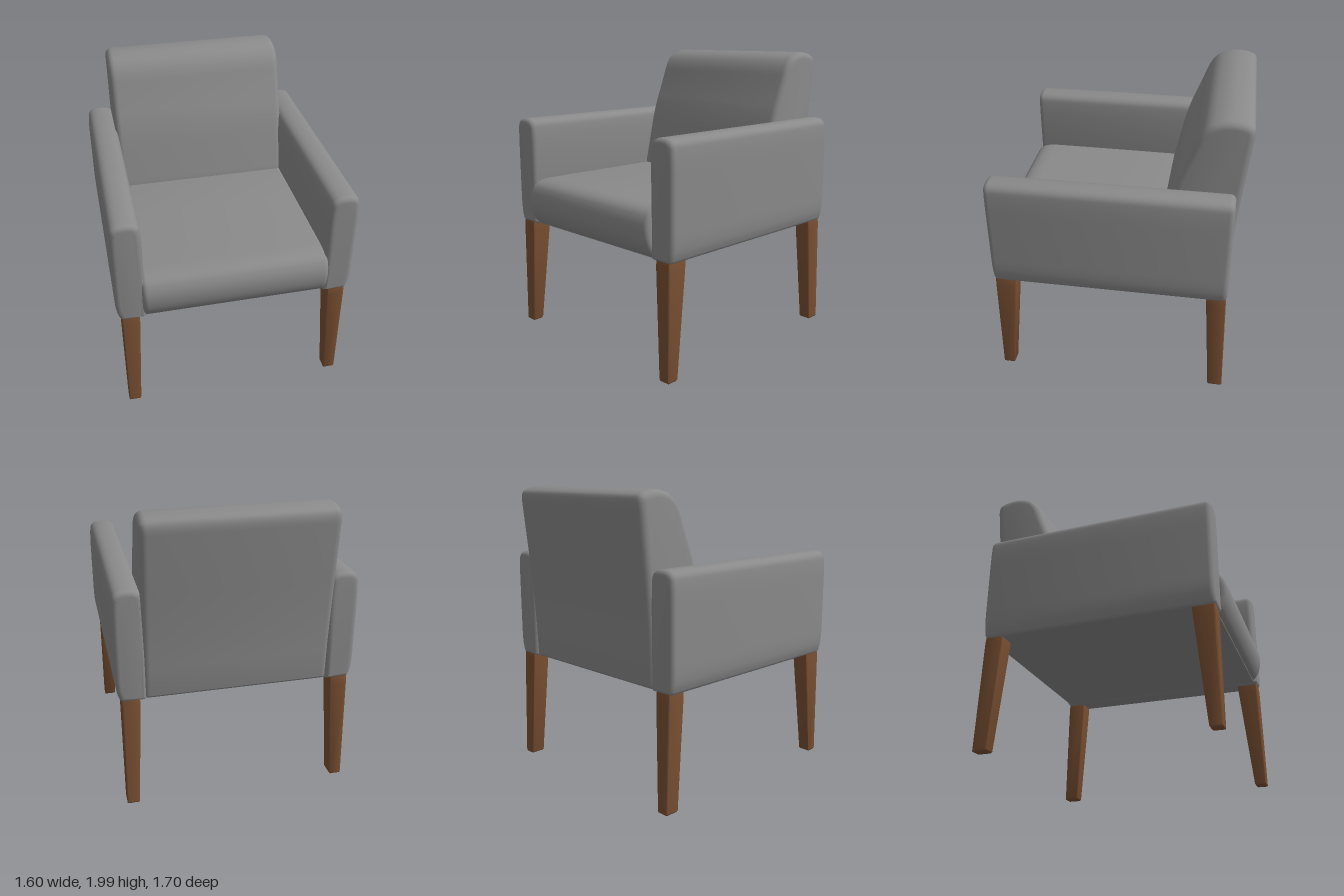
import * as THREE from 'three';
import { toCreasedNormals } from 'three/addons/utils/BufferGeometryUtils.js';
import { RoundedBoxGeometry } from 'three/addons/geometries/RoundedBoxGeometry.js';

// Closed outline from corners [x, y, radius], each corner softened by a curve.
function softOutline(corners) {
  const shape = new THREE.Shape();
  const n = corners.length;
  const toward = (from, to, r) => {
    const a = new THREE.Vector2(from[0], from[1]);
    const d = new THREE.Vector2(to[0], to[1]).sub(a);
    return a.addScaledVector(d.clone().normalize(), Math.min(r, d.length() * 0.49));
  };
  corners.forEach((c, i) => {
    const start = toward(c, corners[(i + n - 1) % n], c[2]);
    const end = toward(c, corners[(i + 1) % n], c[2]);
    if (i === 0) shape.moveTo(start.x, start.y);
    else shape.lineTo(start.x, start.y);
    shape.quadraticCurveTo(c[0], c[1], end.x, end.y);
  });
  shape.closePath();
  return shape;
}

// Cushion: an outline extruded from -length/2 to length/2 with rounded ends.
function cushion(corners, length, bevel) {
  const geo = new THREE.ExtrudeGeometry(softOutline(corners), {
    depth: length - 2 * bevel,
    bevelEnabled: true,
    bevelThickness: bevel,
    bevelSize: bevel,
    bevelOffset: -bevel,
    bevelSegments: 5,
    curveSegments: 8,
  });
  geo.translate(0, 0, bevel - length / 2);
  return geo;
}

// Tapered leg: outer faces nearly upright, inner faces slanting.
function taperedLeg(side, zFoot, zTop) {
  const leg = new RoundedBoxGeometry(1, 1, 1, 2, 0.09);
  const p = leg.attributes.position;
  const lerp = THREE.MathUtils.lerp;
  for (let i = 0; i < p.count; i++) {
    const t = p.getY(i) + 0.5;
    // Across the leg, 0 to 1 from the inner face to the outer face
    const across = 0.5 + side * p.getX(i);
    const x = side * lerp(lerp(0.685, 0.643, t), 0.766, across);
    const z = lerp(lerp(zFoot[0], zTop[0], t), lerp(zFoot[1], zTop[1], t), p.getZ(i) + 0.5);
    // Keep the rounding at the foot small despite the tall stretch
    const y = t < 0.09 ? t * 0.12 : lerp(0.0108, 0.8, (t - 0.09) / 0.91);
    p.setXYZ(i, x, y, z);
  }
  return toCreasedNormals(leg, 0.8);
}

export function createModel() {
  const group = new THREE.Group();
  const fabric = new THREE.MeshStandardMaterial({ color: 0x8a8a8a });
  fabric.name = 'grey upholstery';
  const wood = new THREE.MeshStandardMaterial({ color: 0x7a5033 });
  wood.name = 'brown wood';

  const add = (name, geo, material) => {
    const mesh = new THREE.Mesh(geo, material);
    mesh.name = name;
    group.add(mesh);
  };

  // Seat cushion, profile in (z, y), front edge bulging past the arms
  const seat = cushion([
    [-0.7, 0.78, 0.02], [0.79, 0.775, 0.05], [0.85, 0.87, 0.08],
    [0.855, 1.0, 0.09], [0.79, 1.1, 0.11], [0.3, 1.1, 0.2], [-0.7, 1.095, 0.02],
  ], 1.245, 0.035);
  seat.rotateY(-Math.PI / 2);
  add('seat', toCreasedNormals(seat, 0.7), fabric);

  // Flat base under the seat
  const base = new RoundedBoxGeometry(1.38, 0.15, 1.53, 3, 0.012);
  base.translate(0, 0.85, 0.02);
  add('seatBase', base, fabric);

  // Leaning backrest, profile in (z, y)
  const back = cushion([
    [-0.757, 0.775, 0.025], [-0.775, 1.2, 0.3], [-0.855, 1.96, 0.07],
    [-0.8, 1.995, 0.05], [-0.67, 2.01, 0.12], [-0.535, 1.95, 0.14],
    [-0.46, 1.74, 0.15], [-0.375, 1.53, 0.15], [-0.275, 1.09, 0.05],
    [-0.27, 0.8, 0.02],
  ], 1.245, 0.045);
  back.rotateY(-Math.PI / 2);
  // Crown the top edge slightly
  const bp = back.attributes.position;
  for (let i = 0; i < bp.count; i++) {
    const t = THREE.MathUtils.clamp((bp.getY(i) - 1.5) / 0.5, 0, 1);
    bp.setY(i, bp.getY(i) - 0.012 * t * (bp.getX(i) / 0.62) ** 2);
  }
  add('backrest', toCreasedNormals(back, 0.7), fabric);

  for (const side of [1, -1]) {
    const name = side > 0 ? 'left' : 'right';

    // Arm panel, cross-section in (x, y) about its own centre line
    const arm = cushion([
      [-0.095, 0.77, 0.02], [0.072, 0.77, 0.025], [0.1, 0.86, 0.1],
      [0.1, 1.43, 0.1], [0.088, 1.542, 0.08], [-0.085, 1.542, 0.085],
      [-0.1, 1.43, 0.1],
    ].map(([x, y, r]) => [x * side, y, r]), 1.58, 0.035);
    arm.translate(0.7 * side, 0, 0.02);
    // Let the top edge bow gently
    const ap = arm.attributes.position;
    for (let i = 0; i < ap.count; i++) {
      const u = (ap.getZ(i) - 0.02) / 0.79;
      if (ap.getY(i) > 1.3) ap.setY(i, ap.getY(i) - 0.012 * u * u);
    }
    add(name + 'Arm', toCreasedNormals(arm, 0.7), fabric);

    // Front and rear legs
    add(name + 'FrontLeg', taperedLeg(side, [0.735, 0.81], [0.65, 0.802]), wood);
    add(name + 'RearLeg', taperedLeg(side, [-0.787, -0.69], [-0.762, -0.63]), wood);
  }

  return group;
}
